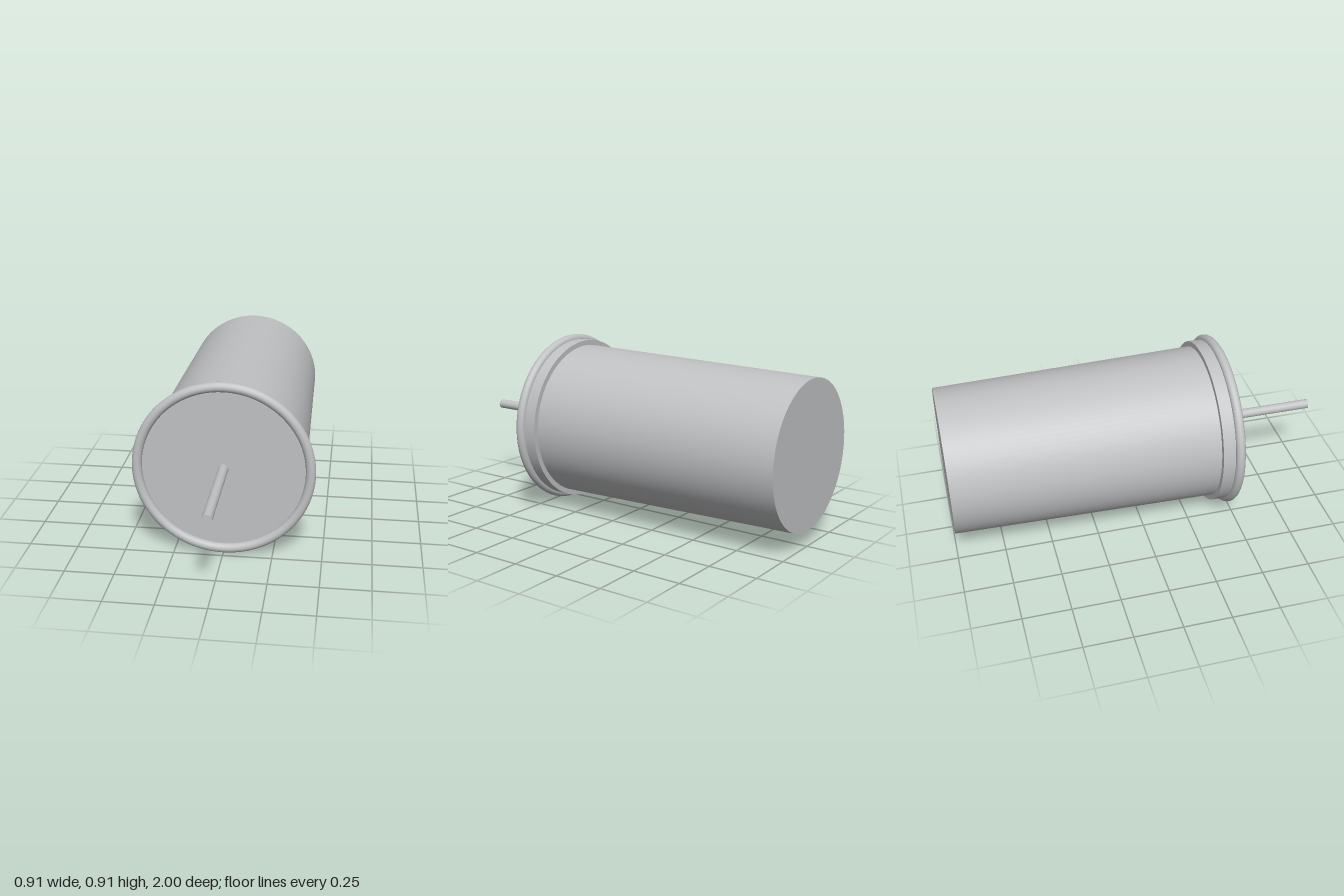
import * as THREE from 'three';

export function createModel() {
  const group = new THREE.Group();
  const metal = new THREE.MeshStandardMaterial({ color: 0xc0c1c3 });
  metal.name = 'light grey metal';
  const axisY = 0.458;

  // Round part along z, from zBack to zFront
  function round(name, rBack, rFront, zBack, zFront, sides) {
    const geometry = new THREE.CylinderGeometry(rFront, rBack, zFront - zBack, sides);
    geometry.rotateX(Math.PI / 2);
    const mesh = new THREE.Mesh(geometry, metal);
    mesh.name = name;
    mesh.position.set(0, axisY, (zBack + zFront) / 2);
    group.add(mesh);
  }

  // Slightly tapered body with closed ends
  round('taperedBody', 0.378, 0.405, -1, 0.37, 96);
  // Collar whose front end forms the recessed face
  round('collar', 0.432, 0.432, 0.37, 0.45, 96);
  // Thin shaft leaving the centre of the face
  round('shaft', 0.025, 0.025, 0.44, 1, 32);

  // Rounded rim around the face
  const rim = new THREE.Mesh(new THREE.TorusGeometry(0.432, 0.025, 16, 96), metal);
  rim.name = 'rim';
  rim.position.set(0, axisY, 0.46);
  group.add(rim);

  return group;
}
